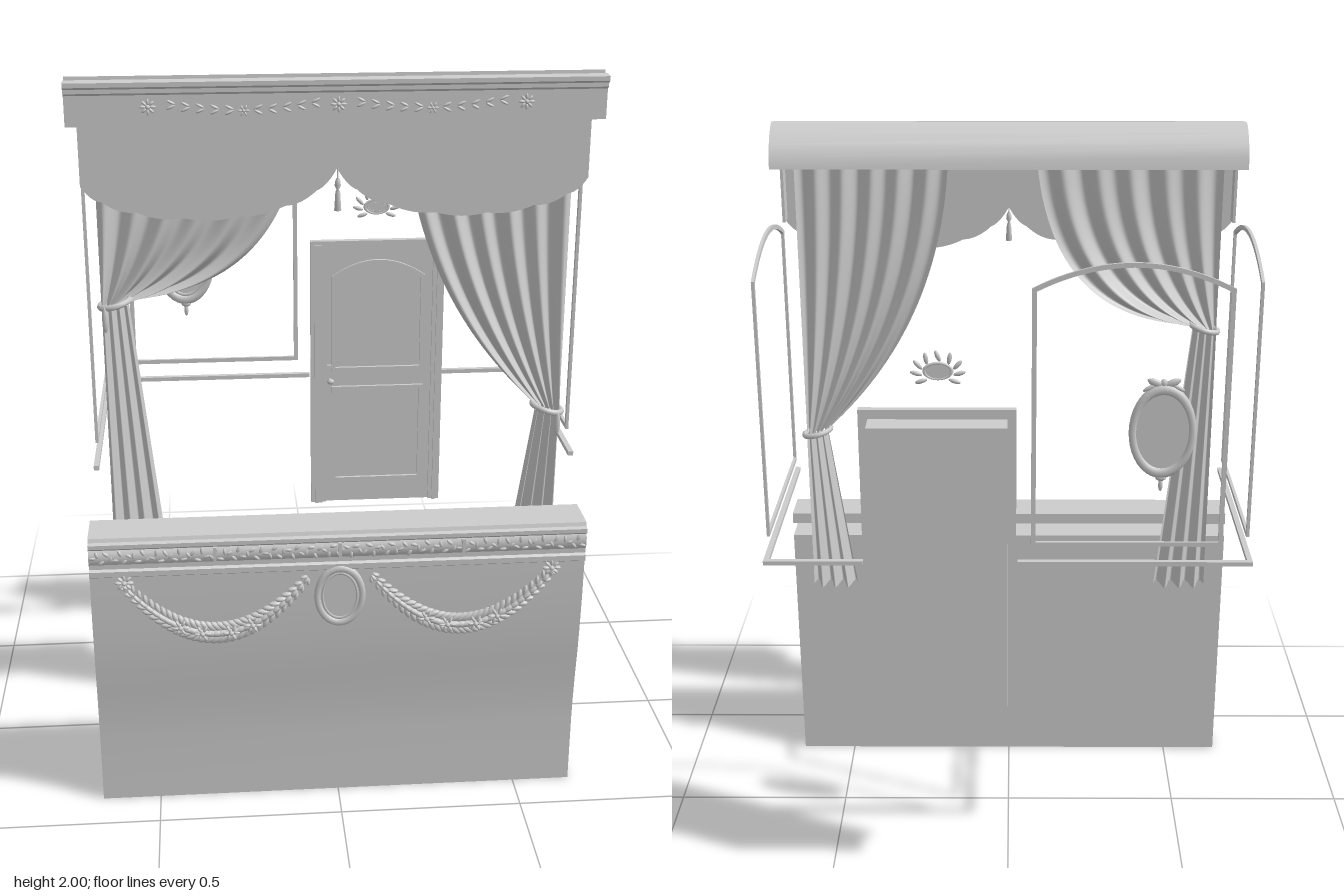
import * as THREE from 'three';
import { toCreasedNormals } from 'three/addons/utils/BufferGeometryUtils.js';

const plaster = new THREE.MeshStandardMaterial({ color: 0xcccccc, side: THREE.DoubleSide });
plaster.name = 'pale grey';

const lerp = THREE.MathUtils.lerp;

function add(parent, name, geo, x = 0, y = 0, z = 0) {
  const m = new THREE.Mesh(geo, plaster);
  m.name = name;
  m.position.set(x, y, z);
  parent.add(m);
  return m;
}
function group(parent, name, x = 0, y = 0, z = 0) {
  const g = new THREE.Group();
  g.name = name;
  g.position.set(x, y, z);
  parent.add(g);
  return g;
}
// Box given by its limits
function box(parent, name, x0, x1, y0, y1, z0, z1) {
  return add(parent, name, new THREE.BoxGeometry(x1 - x0, y1 - y0, z1 - z0),
    (x0 + x1) / 2, (y0 + y1) / 2, (z0 + z1) / 2);
}
// Side profile in (z, y), swept along x over the full width
function sweep(parent, name, pts, width) {
  const shape = new THREE.Shape(pts.map(p => new THREE.Vector2(...p)));
  const geo = new THREE.ExtrudeGeometry(shape, { depth: width, bevelEnabled: false });
  geo.rotateY(-Math.PI / 2).translate(width / 2, 0, 0);
  return add(parent, name, toCreasedNormals(geo, 0.6));
}
function extrude(parent, name, shape, depth, x, y, z) {
  const geo = new THREE.ExtrudeGeometry(shape, { depth, bevelEnabled: false, curveSegments: 24 });
  return add(parent, name, toCreasedNormals(geo, 0.5), x, y, z);
}
// Arch-topped outline
function archPath(Type, w, y0, ySide, yTop) {
  const p = new Type();
  p.moveTo(-w / 2, y0);
  p.lineTo(w / 2, y0);
  p.lineTo(w / 2, ySide);
  p.quadraticCurveTo(0, 2 * yTop - ySide, -w / 2, ySide);
  p.lineTo(-w / 2, y0);
  return p;
}
function archFrame(parent, name, w, y0, ySide, yTop, t, depth, x, z) {
  const s = archPath(THREE.Shape, w, y0, ySide, yTop);
  s.holes.push(archPath(THREE.Path, w - 2 * t, y0 + t, ySide - t * 0.6, yTop - t));
  return extrude(parent, name, s, depth, x, 0, z);
}
const blobGeo = new THREE.SphereGeometry(1, 8, 6);
function blob(parent, name, x, y, z, sx, sy, sz, angle = 0) {
  const m = add(parent, name, blobGeo, x, y, z);
  m.scale.set(sx, sy, sz);
  m.rotation.z = angle;
  return m;
}
// Rosette of petals
function flower(parent, x, y, z, r, n = 8) {
  const g = group(parent, 'flower', x, y, z);
  for (let i = 0; i < n; i++) {
    const a = i / n * Math.PI * 2;
    blob(g, 'petal', Math.cos(a) * r * 0.6, Math.sin(a) * r * 0.6, 0, r * 0.42, r * 0.17, r * 0.3, a);
  }
  blob(g, 'flowerCentre', 0, 0, 0.002, r * 0.3, r * 0.3, r * 0.4);
}
// Oval plate with a rounded rim
function oval(parent, name, x, y, z, rx, ry, rim) {
  const g = group(parent, name, x, y, z);
  const ring = add(g, 'ovalRim', new THREE.TorusGeometry(rx, rim, 8, 40));
  ring.scale.y = ry / rx;
  const bead = add(g, 'ovalInnerRim', new THREE.TorusGeometry(rx - rim * 1.5, rim * 0.4, 6, 40), 0, 0, 0.002);
  bead.scale.y = (ry - rim * 1.5) / (rx - rim * 1.5);
  const disc = add(g, 'ovalPlate', new THREE.CylinderGeometry(1, 1, 0.006, 40).rotateX(Math.PI / 2));
  disc.scale.set(rx, ry, 1);
  return g;
}
// Rectangular sheet from a function (u, v) -> [x, y, z]
function sheet(parent, name, nu, nv, f) {
  const geo = new THREE.PlaneGeometry(1, 1, nu, nv);
  const p = geo.attributes.position;
  for (let i = 0; i < p.count; i++) p.setXYZ(i, ...f(p.getX(i) + 0.5, 0.5 - p.getY(i)));
  geo.computeVertexNormals();
  return add(parent, name, geo);
}
// Tied-back curtain; inner edge bends from top through ctrl to the tie
function curtain(parent, name, outer, top, ctrl, tie) {
  const g = group(parent, name);
  const s = Math.sign(outer);
  const fold = u => Math.sin(u * Math.PI * 11) + 0.35 * Math.sin(u * 17 + 1);
  sheet(g, 'drape', 88, 28, (u, v) => {
    const a = (1 - v) * (1 - v), b = 2 * v * (1 - v), c = v * v;
    const x = a * lerp(outer, top, u) + b * lerp(outer, ctrl[0], u) + c * lerp(outer, tie[0], u);
    const y = a * 1.885 + b * lerp((1.885 + tie[1]) / 2, ctrl[1], u) + c * lerp(tie[1] - 0.03, tie[1], u);
    return [x, y, 0.272 + fold(u) * lerp(0.013, 0.018, v)];
  });
  const y1 = tie[1] - 0.015;
  const endX = s < 0 ? -0.445 : 0.465;
  sheet(g, 'curtainTail', 64, 12, (u, v) => [
    lerp(outer, lerp(tie[0], endX, v), u), lerp(y1, 0.6, v),
    0.272 + Math.sin(u * Math.PI * 7) * lerp(0.018, 0.029, v)]);
  const band = add(g, 'tieBand', new THREE.TorusGeometry(0.04, 0.008, 8, 28).rotateX(Math.PI / 2),
    (outer + tie[0]) / 2, y1 + 0.005, 0.272);
  band.rotation.z = -s * 0.25;
  blob(g, 'tieTassel', outer - s * 0.01, y1 - 0.03, 0.31, 0.008, 0.035, 0.008);
}

export function createModel() {
  const root = new THREE.Group();
  root.name = 'puppetStage';
  const W = 1.32;

  // Counter with a bowed front
  const counter = group(root, 'counter');
  sweep(counter, 'counterBody', [[0.3, 0], [0.385, 0], [0.385, 0.2], [0.388, 0.26], [0.395, 0.34], [0.405, 0.42],
    [0.412, 0.5], [0.417, 0.6], [0.419, 0.71], [0.427, 0.715], [0.427, 0.73], [0.42, 0.735], [0.42, 0.75], [0.3, 0.75]], W);
  sweep(counter, 'frieze', [[0.395, 0.745], [0.418, 0.745], [0.426, 0.757], [0.428, 0.77], [0.426, 0.783], [0.418, 0.795], [0.395, 0.795]], W);
  sweep(counter, 'counterTop', [[0.3, 0.79], [0.42, 0.79], [0.428, 0.797], [0.428, 0.808], [0.418, 0.812], [0.414, 0.822], [0.3, 0.822]], W);
  for (let i = 0; i < 110; i++) {
    blob(counter, 'friezeLeaf', -0.65 + i * 1.3 / 109, 0.77 + Math.sin(i * 2.4) * 0.013, 0.425, 0.011, 0.005, 0.005, i * 1.9);
  }
  for (const x of [-0.33, 0, 0.33]) box(counter, 'friezeBand', x - 0.004, x + 0.004, 0.75, 0.792, 0.41, 0.431);
  oval(counter, 'counterMedallion', 0, 0.635, 0.422, 0.06, 0.08, 0.009);

  // Leaf garlands, mirrored
  for (const s of [-1, 1]) {
    const g = group(counter, 'garland');
    const n = 30;
    for (let i = 0; i <= n; i++) {
      const t = i / n, k = 2 * t - 1, full = 1 - k * k;
      const x = lerp(0.57, 0.09, t), y = 0.685 - 0.15 * full;
      const dir = Math.atan2(0.6 * k, -0.48);
      const r = lerp(0.011, 0.022, full);
      for (const j of [-1, 0, 1]) {
        blob(g, 'garlandLeaf', s * (x + j * 0.006 * k), y + j * lerp(0.007, 0.018, full), 0.42 + (j ? 0 : 0.006),
          r, r * 0.42, 0.009, s * (dir + j * 0.65));
      }
    }
    for (const t of [0.3, 0.42, 0.58, 0.7]) {
      const k = 2 * t - 1;
      flower(g, s * lerp(0.57, 0.09, t), 0.685 - 0.15 * (1 - k * k), 0.431, 0.024, 6);
    }
    flower(g, s * 0.57, 0.695, 0.423, 0.025);
  }

  // Cornice, rounded at the back
  const cornice = group(root, 'cornice');
  sweep(cornice, 'corniceBody', [[0.217, 1.885], [0.347, 1.885], [0.347, 1.96], [0.356, 1.966], [0.356, 1.976], [0.366, 1.982],
    [0.366, 1.993], [0.338, 1.996], [0.335, 1.98], [0.312, 1.982], [0.31, 2], [0.29, 1.994], [0.265, 1.978], [0.24, 1.95], [0.223, 1.918]], W);
  for (const x of [-0.46, 0, 0.46]) flower(cornice, x, 1.932, 0.35, 0.02);
  for (const s of [-1, 1]) {
    for (let i = 0; i < 11; i++) {
      const d = (i - 5) / 5;
      if (i === 5) { flower(cornice, s * 0.23, 1.92, 0.35, 0.015, 6); continue; }
      for (const j of [-1, 1]) {
        blob(cornice, 'corniceLeaf', s * 0.23 + d * 0.175, 1.921 + 0.015 * d * d + j * 0.006, 0.348,
          0.012, 0.0035, 0.005, -Math.sign(d) * j * -0.45);
      }
    }
  }

  // Scalloped valance with short side returns
  const v = new THREE.Shape();
  const steps = [[-0.635, 1.73], [-0.585, 1.69], [-0.5, 1.662], [-0.38, 1.645], [-0.25, 1.648], [-0.13, 1.672], [-0.05, 1.71], [0, 1.765]];
  const edge = steps.concat(steps.slice(0, -1).reverse().map(p => [-p[0], p[1]]));
  v.moveTo(-0.635, 1.89);
  v.lineTo(...edge[0]);
  for (let i = 1; i < edge.length; i++) {
    const [ax, ay] = edge[i - 1], [bx, by] = edge[i];
    v.quadraticCurveTo((ax + bx) / 2, (ay + by) / 2 - 0.018, bx, by);
  }
  v.lineTo(0.635, 1.89);
  const valance = group(root, 'valance');
  extrude(valance, 'valanceCloth', v, 0.008, 0, 0, 0.297);
  for (const s of [-1, 1]) box(valance, 'valanceReturn', s * 0.631 - 0.004, s * 0.631 + 0.004, 1.73, 1.89, 0.25, 0.3);
  const profile = [[0, 0], [0.009, 0.003], [0.006, 0.05], [0.003, 0.056], [0.008, 0.066], [0.006, 0.08], [0.002, 0.086], [0.002, 0.11], [0, 0.11]];
  add(valance, 'tassel', new THREE.LatheGeometry(profile.map(p => new THREE.Vector2(...p)), 12), 0, 1.66, 0.325);

  // Curtains
  curtain(root, 'rightCurtain', -0.6, -0.08, [-0.13, 1.44], [-0.53, 1.43]);
  curtain(root, 'leftCurtain', 0.6, 0.17, [0.2, 1.42], [0.535, 1.11]);

  // Wall mouldings: arched frames and the rail
  const walls = group(root, 'wallMouldings');
  archFrame(walls, 'backArchFrame', 0.5, 1.02, 1.71, 1.775, 0.012, 0.008, -0.31, -0.382);
  for (const s of [-1, 1]) {
    const f = archFrame(walls, 'sideArchFrame', 0.56, 1.02, 1.71, 1.775, 0.012, 0.008, s * 0.634 - 0.004, -0.04);
    f.rotation.y = Math.PI / 2;
    box(walls, 'sideRail', s * 0.635 - 0.007, s * 0.635 + 0.007, 0.965, 0.977, -0.385, 0.295);
  }
  box(walls, 'backRail', -0.642, -0.025, 0.965, 0.977, -0.385, -0.37);
  box(walls, 'backRail', 0.38, 0.642, 0.965, 0.977, -0.385, -0.37);

  // Door in its casing
  const door = group(root, 'door');
  box(door, 'doorBox', 0, 0.355, 0.55, 1.37, -0.445, -0.375);
  box(door, 'casingBack', -0.022, 0.38, 0.55, 1.395, -0.378, -0.368);
  for (const [a, b] of [[-0.022, 0.024], [0.346, 0.38]]) {
    box(door, 'casingSide', a, b, 0.55, 1.395, -0.37, -0.36);
    box(door, 'casingBead', a + 0.012, b - 0.012, 0.55, 1.383, -0.362, -0.353);
  }
  box(door, 'casingTop', -0.022, 0.38, 1.365, 1.395, -0.37, -0.358);
  archFrame(door, 'upperPanelMoulding', 0.28, 0.985, 1.285, 1.335, 0.012, 0.01, 0.182, -0.369);
  const lower = archPath(THREE.Shape, 0.28, 0.62, 0.935, 0.935);
  lower.holes.push(archPath(THREE.Path, 0.256, 0.632, 0.923, 0.923));
  extrude(door, 'lowerPanelMoulding', lower, 0.01, 0.182, 0, -0.369);
  box(door, 'handlePlate', 0.028, 0.042, 0.92, 1.005, -0.368, -0.36);
  add(door, 'handleStem', new THREE.CylinderGeometry(0.004, 0.004, 0.025, 10).rotateX(Math.PI / 2), 0.035, 0.96, -0.35);
  blob(door, 'handleKnob', 0.037, 0.96, -0.338, 0.011, 0.009, 0.008);

  // Leafy crest above the door
  const crest = group(root, 'doorCrest', 0.175, 1.495, -0.372);
  const shield = oval(crest, 'crestOval', 0, 0, 0, 0.034, 0.021, 0.005);
  shield.position.z = 0.003;
  for (let i = 0; i < 9; i++) {
    const a = lerp(-0.7, Math.PI + 0.7, i / 8);
    blob(crest, 'crestLeaf', Math.cos(a) * 0.055, Math.sin(a) * 0.04, 0, 0.016, 0.006, 0.005, a + (a > 1.57 ? -0.4 : 0.4));
  }

  // Oval mirror with bow and pendant
  const mirror = oval(root, 'wallMirror', -0.393, 1.335, -0.37, 0.076, 0.112, 0.01);
  for (const s of [-1, 1]) {
    blob(mirror, 'bowLoop', s * 0.022, 0.13, 0, 0.022, 0.01, 0.006, s * 0.4);
    blob(mirror, 'bowEnd', s * 0.036, 0.117, 0, 0.02, 0.006, 0.005, -s * 0.5);
  }
  blob(mirror, 'bowKnot', 0, 0.128, 0.002, 0.01, 0.012, 0.008);
  blob(mirror, 'pendantBead', 0, -0.126, 0, 0.014, 0.009, 0.007);
  blob(mirror, 'pendantDrop', 0, -0.145, 0, 0.006, 0.018, 0.006);
  return root;
}
